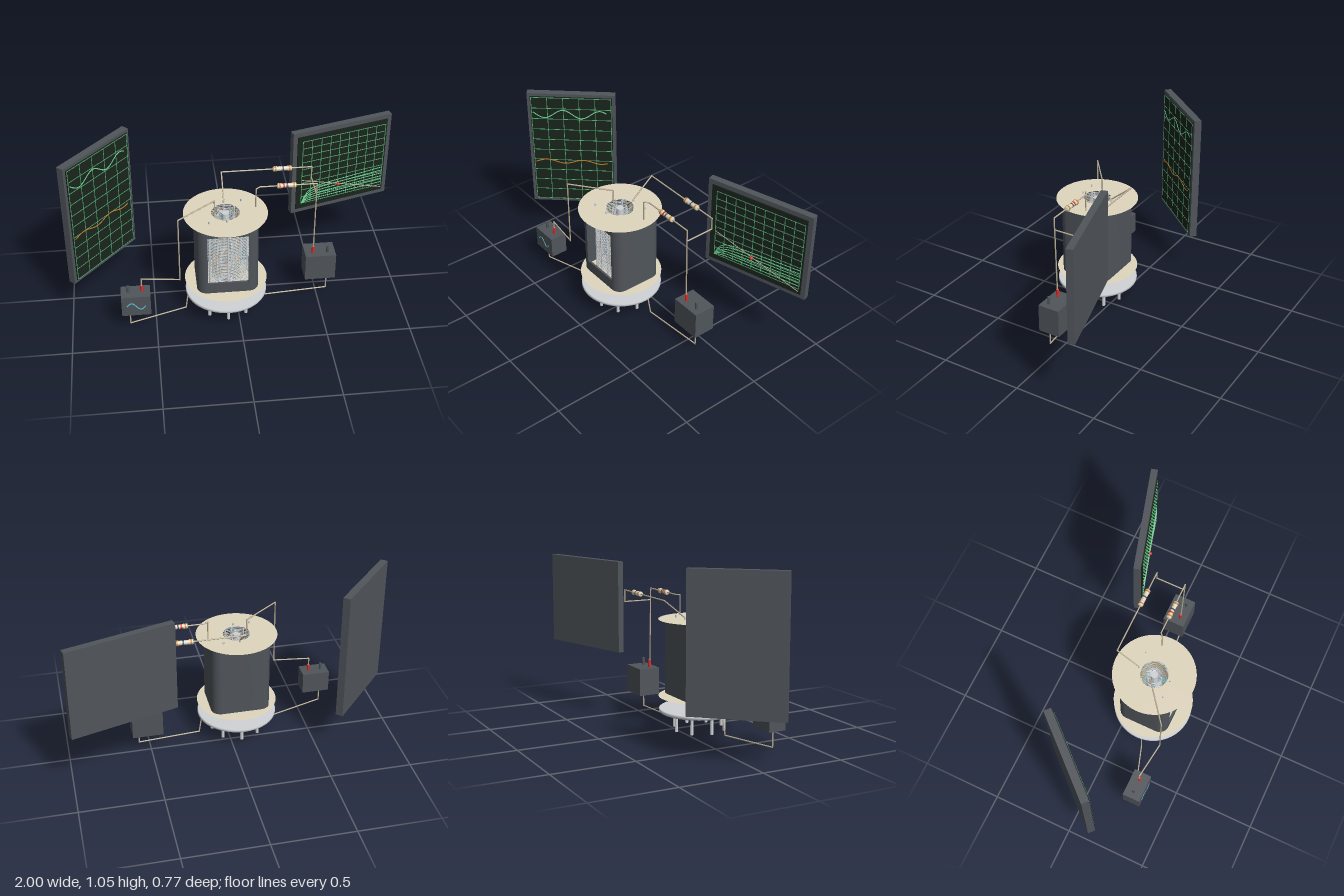
import * as THREE from 'three';
import { mergeGeometries, toCreasedNormals } from 'three/addons/utils/BufferGeometryUtils.js';

const mat = (name, color, side = THREE.FrontSide) => {
  const m = new THREE.MeshStandardMaterial({ color, side });
  m.name = name;
  return m;
};
const charcoal = mat('charcoal metal', 0x50555b);
const screenDark = mat('dark screen', 0x1a241c);
const gridGreen = mat('grid green', 0x55ae74);
const traceGreen = mat('trace green', 0x74dc9c);
const mica = mat('mica cream', 0xe0d6be, THREE.DoubleSide);
const silver = mat('silver', 0xd0d3d6);
const wireTan = mat('wire', 0xbdb096);
const red = mat('red', 0xd83028);
const cyan = mat('cyan', 0x5cc8e0);
const orange = mat('orange', 0xc8822c);

const CX = -0.067, CZ = 0.135; // axis of the tube
const V = (p) => new THREE.Vector3(...p);

function add(parent, name, geo, material, x = 0, y = 0, z = 0) {
  const m = new THREE.Mesh(geo, material);
  m.name = name;
  m.position.set(x, y, z);
  parent.add(m);
  return m;
}

// Round bar following a list of points
function wire(parent, name, pts, r, material) {
  const up = new THREE.Vector3(0, 1, 0), parts = [];
  for (let i = 0; i < pts.length - 1; i++) {
    const a = V(pts[i]), d = V(pts[i + 1]).sub(a), len = d.length();
    const g = new THREE.CylinderGeometry(r, r, len + r, 8);
    g.applyQuaternion(new THREE.Quaternion().setFromUnitVectors(up, d.clone().normalize()));
    g.translate(...a.addScaledVector(d, 0.5).toArray());
    parts.push(g);
  }
  add(parent, name, mergeGeometries(parts), material);
}

// Thin flat line facing +z through points in x and y
function strip(parent, name, pts, width, material, z) {
  const parts = [];
  for (let i = 0; i < pts.length - 1; i++) {
    const [x0, y0] = pts[i], [x1, y1] = pts[i + 1];
    const g = new THREE.BoxGeometry(Math.hypot(x1 - x0, y1 - y0) + width * 0.3, width, 0.002);
    g.rotateZ(Math.atan2(y1 - y0, x1 - x0));
    g.translate((x0 + x1) / 2, (y0 + y1) / 2, z);
    parts.push(g);
  }
  add(parent, name, mergeGeometries(parts), material);
}

// Sampled curve drawn as a strip
function trace(parent, name, u0, u1, n, fn, width, material, z) {
  const pts = [];
  for (let i = 0; i <= n; i++) {
    const u = u0 + (u1 - u0) * i / n;
    pts.push([u, fn(u)]);
  }
  strip(parent, name, pts, width, material, z);
}

// Framed display with a ruled screen; local y is height above ground
function display(name, x, z, angle, w, y0, y1, depth, border, grid) {
  const g = new THREE.Group();
  g.name = name;
  g.position.set(x, 0, z);
  g.rotation.y = angle;
  const h = y1 - y0, mid = (y0 + y1) / 2, face = depth / 2 + 0.0065;
  add(g, 'frame', new THREE.BoxGeometry(w, h, depth), charcoal, 0, mid, 0);
  add(g, 'screen', new THREE.BoxGeometry(w - border * 2, h - border * 2, 0.006), screenDark, 0, mid, depth / 2 + 0.003);
  const [u0, u1, nu, v0, v1, nv] = grid;
  for (let i = 0; i <= nu; i++) {
    const u = u0 + (u1 - u0) * i / nu;
    strip(g, 'gridLine', [[u, v0], [u, v1]], 0.004, gridGreen, face);
  }
  for (let i = 0; i <= nv; i++) {
    const v = v0 + (v1 - v0) * i / nv;
    strip(g, 'gridLine', [[u0, v], [u1, v]], 0.004, gridGreen, face);
  }
  return g;
}

// Rounded rectangle outline, front side at negative y
function roundedRect(path, a, b, r) {
  path.moveTo(-a + r, -b).lineTo(a - r, -b).absarc(a - r, -b + r, r, -Math.PI / 2, 0)
    .lineTo(a, b - r).absarc(a - r, b - r, r, 0, Math.PI / 2)
    .lineTo(-a + r, b).absarc(-a + r, b - r, r, Math.PI / 2, Math.PI)
    .lineTo(-a, -b + r).absarc(-a + r, -b + r, r, Math.PI, Math.PI * 1.5);
  return path;
}

// Anode: a hollow shell with a window in its front
function anode(parent) {
  const A = 0.182, B = 0.161, R = 0.06, T = 0.012, W = 0.12;
  const ring = roundedRect(new THREE.Shape(), A, B, R);
  ring.holes.push(roundedRect(new THREE.Path(), A - T, B - T, R - T));
  const outer = roundedRect(new THREE.Path(), A, B, R).getPoints(8);
  const inner = roundedRect(new THREE.Path(), A - T, B - T, R - T).getPoints(8);
  const walls = (pts, b) => [new THREE.Vector2(W, -b), ...pts.slice(1, -1), new THREE.Vector2(-W, -b)];
  const open = new THREE.Shape([...walls(outer, B), ...walls(inner, B - T).reverse()]);
  [[ring, 0.21, 0.28], [open, 0.28, 0.61], [ring, 0.61, 0.674]].forEach(([shape, y0, y1]) => {
    let g = new THREE.ExtrudeGeometry(shape, { depth: y1 - y0, bevelEnabled: false, curveSegments: 8 });
    g.rotateX(-Math.PI / 2);
    g = toCreasedNormals(g, 0.6);
    add(parent, 'anodeShell', g, charcoal, CX, y0, CZ);
  });
}

// Wound grid with its support rods
function woundGrid(parent, name, rx, rz, turns, r, material, rods) {
  const curve = new THREE.Curve();
  curve.getPoint = (t, out = new THREE.Vector3()) => {
    const a = t * turns * Math.PI * 2;
    return out.set(rx * Math.cos(a), 0.225 + 0.435 * t, rz * Math.sin(a));
  };
  add(parent, name, new THREE.TubeGeometry(curve, turns * 24, r, 4), material, CX, 0, CZ);
  for (let i = 0; i < rods; i++) {
    const a = (i + 0.5) / rods * Math.PI * 2;
    add(parent, name + 'Rod', new THREE.CylinderGeometry(0.005, 0.005, 0.455, 8), silver,
      CX + rx * Math.cos(a), 0.443, CZ + rz * Math.sin(a));
  }
}

// Small beads drifting from the cathode to the anode
function electrons(parent, count) {
  let s = 7;
  const rnd = () => (s = (s * 16807) % 2147483647) / 2147483647;
  const parts = [];
  for (let i = 0; i < count; i++) {
    const a = rnd() * Math.PI * 2, r = 0.03 + 0.105 * rnd();
    const g = new THREE.SphereGeometry(0.005, 6, 4);
    g.translate(r * Math.cos(a), 0.23 + 0.43 * rnd(), r * Math.sin(a));
    parts.push(g);
  }
  add(parent, 'electrons', mergeGeometries(parts), cyan, CX, 0, CZ);
}

// Supply or generator box with a black and a red terminal
function box(parent, name, size, pos, terminals, tz, h) {
  const g = new THREE.Group();
  g.name = name;
  parent.add(g);
  add(g, 'case', new THREE.BoxGeometry(...size), charcoal, ...pos);
  const top = pos[1] + size[1] / 2;
  terminals.forEach(([x, m]) =>
    add(g, 'terminal', new THREE.CylinderGeometry(0.009, 0.009, h, 12), m, x, top + h / 2, tz));
  return g;
}

function resistor(parent, z, bands) {
  const g = new THREE.Group();
  g.name = 'resistor';
  g.position.set(0.297, 0.8, z);
  g.rotation.z = -Math.PI / 2;
  parent.add(g);
  const prof = [[0, -0.056], [0.013, -0.056], [0.016, -0.05], [0.016, -0.034], [0.0135, -0.028],
    [0.0135, 0.028], [0.016, 0.034], [0.016, 0.05], [0.013, 0.056], [0, 0.056]];
  add(g, 'body', new THREE.LatheGeometry(prof.map((p) => new THREE.Vector2(...p)), 16), mica);
  bands.forEach(([m, y]) => {
    const r = Math.abs(y) > 0.03 ? 0.0168 : 0.0145;
    add(g, 'band', new THREE.CylinderGeometry(r, r, 0.009, 16), m, 0, y, 0);
  });
}

export function createModel() {
  const model = new THREE.Group();
  model.name = 'vacuumTubeCircuit';

  // Tube: base, pins, mica spacers, electrodes
  const tube = new THREE.Group();
  tube.name = 'vacuumTube';
  model.add(tube);
  const basePts = [[0, 0.11], [0.236, 0.11], [0.245, 0.118], [0.245, 0.13], [0.24, 0.134], [0, 0.134]];
  add(tube, 'base', new THREE.LatheGeometry(basePts.map((p) => new THREE.Vector2(...p)), 48), silver, CX, 0, CZ);
  for (let i = 0; i < 8; i++) {
    const a = i * Math.PI / 4;
    add(tube, 'pin', new THREE.CylinderGeometry(0.01, 0.01, 0.112, 12), silver,
      CX + 0.156 * Math.cos(a), 0.056, CZ + 0.156 * Math.sin(a));
  }
  for (const y of [0.209, 0.676]) {
    const g = new THREE.RingGeometry(0.083, 0.247, 48);
    g.rotateX(-Math.PI / 2);
    add(tube, 'micaSpacer', g, mica, CX, y, CZ);
  }
  anode(tube);
  woundGrid(tube, 'outerGrid', 0.158, 0.142, 40, 0.0025, silver, 6);
  woundGrid(tube, 'middleGrid', 0.08, 0.08, 36, 0.0025, wireTan, 4);
  woundGrid(tube, 'innerGrid', 0.048, 0.045, 40, 0.0025, silver, 2);
  electrons(tube, 380);
  add(tube, 'cathode', new THREE.CylinderGeometry(0.022, 0.022, 0.46, 20), silver, CX, 0.443, CZ);
  for (const [dx, dz] of [[-0.104, 0.104], [0.104, -0.104], [0, 0.1], [0, -0.1]])
    add(tube, 'supportPost', new THREE.CylinderGeometry(0.006, 0.006, 0.492, 8), silver, CX + dx, 0.446, CZ + dz);

  // Tall display with two waveforms
  const scope = display('waveformDisplay', -0.8, -0.045, 0.838, 0.55, 0.252, 1.055, 0.045, 0.019,
    [-0.25, 0.25, 5, 0.275, 1.03, 10]);
  model.add(scope);
  const wave = (u) => Math.cos(2 * Math.PI * (u + 0.169) / 0.232);
  trace(scope, 'outputTrace', -0.24, 0.22, 60, (u) => 0.917 - 0.028 * wave(u), 0.006, traceGreen, 0.031);
  trace(scope, 'inputTrace', -0.24, 0.22, 60, (u) => 0.566 + 0.013 * wave(u), 0.006, orange, 0.031);

  // Wide display with characteristic curves, load line and operating point
  const chart = display('curveDisplay', 0.68, -0.273, 0.283, 0.658, 0.426, 0.992, 0.04, 0.028,
    [-0.267, 0.29, 9, 0.49, 0.93, 9]);
  model.add(chart);
  for (let k = 1; k <= 6; k++)
    trace(chart, 'plateCurve', -0.267, 0.29, 28, (u) => {
      const v = u + 0.267;
      return 0.49 + k * 0.0175 * (1 - Math.exp(-v / 0.035)) * (1 + 0.45 * v);
    }, 0.0045, traceGreen, 0.028);
  strip(chart, 'loadLine', [[-0.267, 0.66], [0.29, 0.475]], 0.005, wireTan, 0.03);
  add(chart, 'operatingPoint', new THREE.SphereGeometry(0.011, 14, 10), red, -0.017, 0.574, 0.034);

  // Signal generator with a wave on its face
  const gen = box(model, 'signalGenerator', [0.172, 0.135, 0.108], [-0.615, 0.183, 0.282],
    [[-0.657, charcoal], [-0.577, red]], 0.28, 0.042);
  trace(gen, 'waveMark', -0.67, -0.56, 24,
    (u) => 0.185 + 0.022 * Math.sin((u + 0.67) / 0.11 * Math.PI * 2), 0.006, cyan, 0.339);

  // Power supply
  box(model, 'powerSupply', [0.187, 0.173, 0.136], [0.518, 0.202, 0.045],
    [[0.475, red], [0.565, charcoal]], 0.07, 0.046);

  // Resistors
  resistor(model, 0.08, [[orange, -0.042], [red, -0.018], [charcoal, 0.002], [orange, 0.042]]);
  resistor(model, -0.102, [[orange, -0.042], [silver, -0.016], [charcoal, 0.004], [orange, 0.042]]);

  // Wiring
  const runs = {
    inputWire: [[-0.577, 0.28, 0.28], [-0.577, 0.34, 0.28], [-0.352, 0.34, 0.309], [-0.352, 0.762, 0.309],
      [-0.13, 0.762, 0.137], [-0.13, 0.68, 0.137]],
    generatorReturnWire: [[-0.655, 0.12, 0.282], [-0.655, 0.012, 0.282], [-0.315, 0.012, 0.172], [-0.3, 0.112, 0.165]],
    supplyReturnWire: [[0.565, 0.12, 0.07], [0.565, 0.012, 0.07], [0.18, 0.012, 0.1], [0.162, 0.112, 0.106]],
    supplyWire: [[0.475, 0.33, 0.072], [0.475, 0.8, 0.08], [0.35, 0.8, 0.08]],
    anodeWire: [[0.245, 0.8, 0.08], [0.14, 0.8, 0.08], [0.115, 0.8, 0.1], [0.115, 0.676, 0.1]],
    screenWire: [[0.245, 0.8, -0.102], [-0.067, 0.8, -0.102], [-0.067, 0.69, 0.035]],
    screenSupplyWire: [[0.35, 0.8, -0.102], [0.475, 0.8, -0.102], [0.475, 0.725, -0.102], [0.475, 0.725, 0.079]],
  };
  for (const [name, pts] of Object.entries(runs)) wire(model, name, pts, 0.0042, wireTan);

  return model;
}
